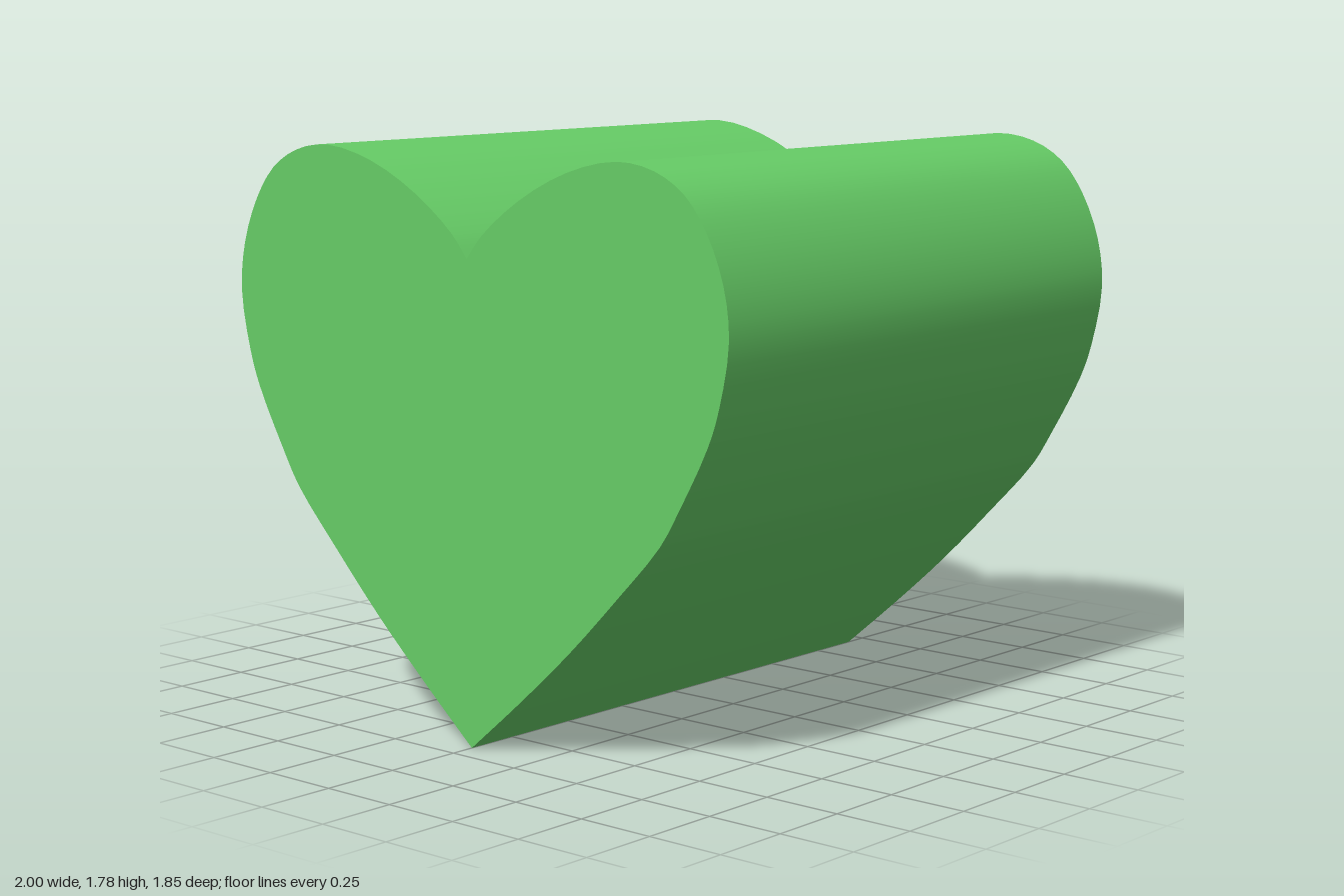
import * as THREE from 'three';
import { toCreasedNormals } from 'three/addons/utils/BufferGeometryUtils.js';

const DEPTH = 1.845;

// Half of the heart outline, from the bottom tip up to the notch
const HALF = [
  [0, 0], [0.2, 0.17], [0.4, 0.35], [0.59, 0.54], [0.75, 0.71], [0.82, 0.82],
  [0.925, 1.01], [0.965, 1.12], [1, 1.31], [0.98, 1.46], [0.92, 1.6], [0.84, 1.7],
  [0.73, 1.76], [0.59, 1.78], [0.4, 1.74], [0.21, 1.65], [0.06, 1.54], [0, 1.47],
];

function heartShape() {
  const curve = new THREE.CatmullRomCurve3(HALF.map(([x, y]) => new THREE.Vector3(x, y, 0)));
  const right = curve.getPoints(51).map((p) => new THREE.Vector2(Math.min(p.x, 1), p.y));
  // Mirror the half, leaving out the shared tip and notch
  const left = right.slice(1, -1).reverse().map((p) => new THREE.Vector2(-p.x, p.y));
  return new THREE.Shape([...right, ...left]);
}

export function createModel() {
  const model = new THREE.Group();
  model.name = 'heartPrism';

  // Straight extrusion: smooth sides, sharp tip, notch and rims
  const extruded = new THREE.ExtrudeGeometry(heartShape(), { depth: DEPTH, bevelEnabled: false });
  extruded.translate(0, 0, -DEPTH / 2);
  const heart = new THREE.Mesh(
    toCreasedNormals(extruded, 0.7),
    new THREE.MeshStandardMaterial({ color: 0x66cc66 }),
  );
  heart.name = 'heart';
  model.add(heart);
  return model;
}
